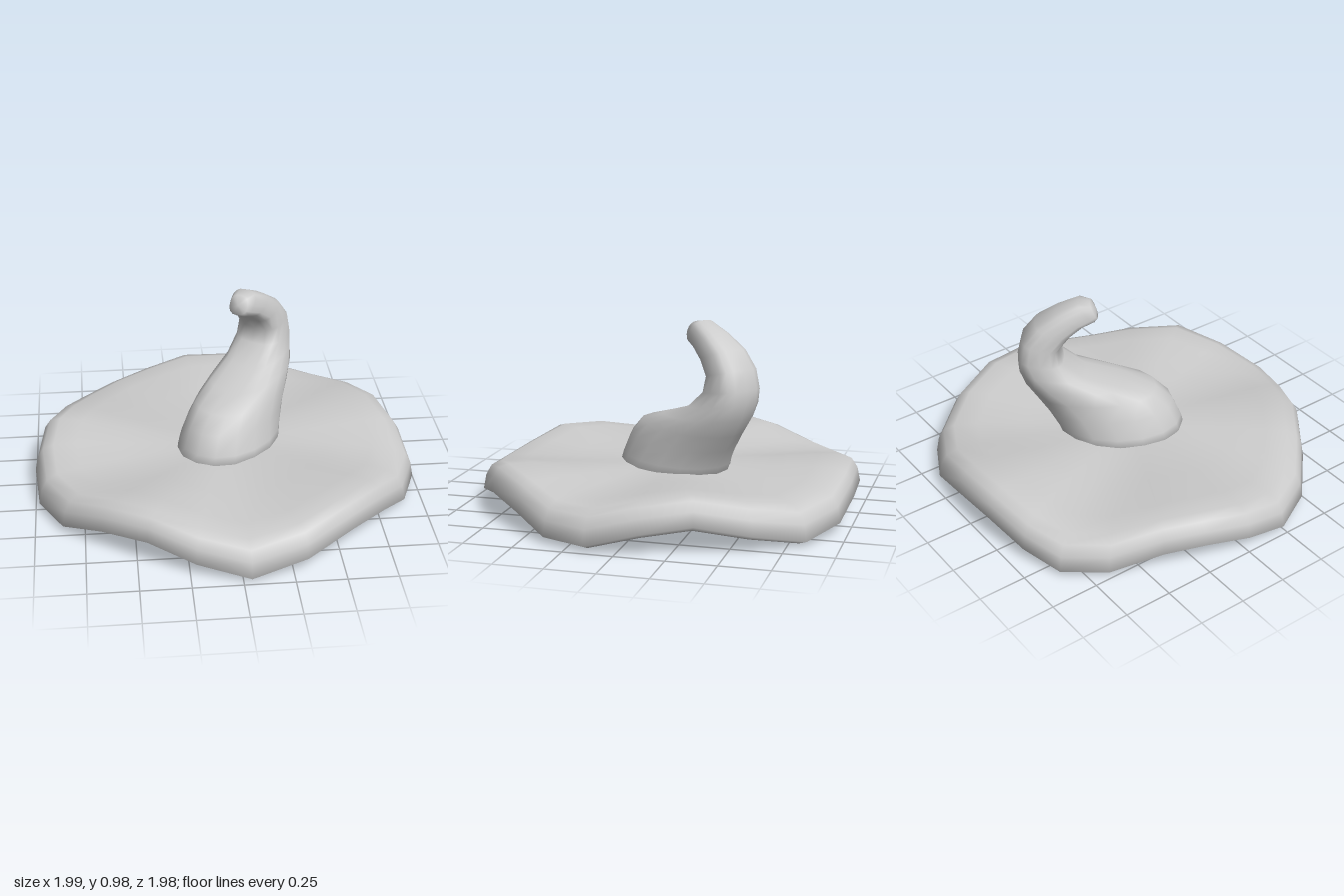
import * as THREE from 'three';

const material = new THREE.MeshStandardMaterial({ color: 0xcccccc });

// Skin a closed, smooth surface over equal-length rings, with a point at each end.
function loft(name, start, rings, end) {
  const n = rings[0].length, last = rings.length - 1;
  const points = [...rings.flat(), start, end];
  const s = points.length - 2, e = s + 1, index = [];
  for (let j = 0; j < n; j++) {
    const k = (j + 1) % n;
    for (let i = 0; i < last; i++) {
      const a = i * n + j, b = i * n + k;
      index.push(a, b, b + n, a, b + n, a + n);
    }
    index.push(s, k, j, e, last * n + j, last * n + k);
  }
  const geometry = new THREE.BufferGeometry().setFromPoints(points);
  geometry.setIndex(index);
  geometry.computeVertexNormals();
  const mesh = new THREE.Mesh(geometry, material);
  mesh.name = name;
  return mesh;
}

// Brim outline (x, z), from the front point round by the left side.
const outline = [
  [0.04, 0.985], [0.32, 0.92], [0.56, 0.78], [0.76, 0.56], [0.9, 0.38], [0.99, 0.15],
  [0.97, -0.11], [0.9, -0.36], [0.79, -0.62], [0.61, -0.84], [0.37, -0.96], [0.12, -0.99],
  [-0.15, -0.98], [-0.39, -0.93], [-0.59, -0.85], [-0.75, -0.67], [-0.87, -0.43], [-0.96, -0.24],
  [-1, 0], [-0.98, 0.24], [-0.86, 0.47], [-0.67, 0.64], [-0.45, 0.8], [-0.22, 0.91],
];

// Brim section: [outline scale, height, lift at the five wave crests].
const brimSection = [
  [0.5, 0.045, 0.01], [0.85, 0.025, 0.06], [0.95, 0.0, 0.11], [1.0, 0.02, 0.12],
  [0.985, 0.1, 0.11], [0.955, 0.155, 0.1], [0.9, 0.185, 0.085], [0.78, 0.197, 0.07],
  [0.55, 0.205, 0.035], [0.3, 0.215, 0.005],
];

function makeBrim() {
  const rings = brimSection.map(([k, y, lift]) => outline.map(([x, z]) => {
    const wave = (1 - Math.cos(5 * (Math.atan2(x, z) - 0.04))) / 2;
    return new THREE.Vector3(x * k, y + lift * wave, z * k);
  }));
  return loft('brim', new THREE.Vector3(0, 0.05, 0), rings, new THREE.Vector3(0, 0.22, 0));
}

// Crown sections in the plane of the bend:
// [inner s, inner y, outer s, outer y, half width, sideways shift, squareness].
const crownSections = [
  [-0.3, 0.15, 0.35, 0.15, 0.26, 0, 1],
  [-0.27, 0.26, 0.39, 0.25, 0.24, 0, 1],
  [-0.225, 0.36, 0.44, 0.34, 0.215, 0, 0.95],
  [-0.14, 0.44, 0.5, 0.43, 0.195, 0, 0.9],
  [0.03, 0.49, 0.55, 0.52, 0.175, 0.01, 0.8],
  [0.22, 0.55, 0.573, 0.6, 0.15, 0.02, 0.75],
  [0.335, 0.64, 0.573, 0.67, 0.135, 0.025, 0.7],
  [0.355, 0.72, 0.55, 0.77, 0.125, 0.025, 0.7],
  [0.3, 0.79, 0.48, 0.86, 0.11, 0.025, 0.7],
  [0.23, 0.845, 0.37, 0.93, 0.09, 0.022, 0.7],
  [0.175, 0.865, 0.26, 0.982, 0.07, 0.02, 0.7],
  [0.16, 0.88, 0.2, 0.972, 0.052, 0.02, 0.8],
];

function makeCrown() {
  const lean = new THREE.Vector3(0.59, 0, -0.81);
  const side = new THREE.Vector3(-0.81, 0, -0.59);
  const at = (s, y, u) => new THREE.Vector3(0, y, 0).addScaledVector(lean, s).addScaledVector(side, u);
  const rounded = (v, p) => Math.sign(v) * Math.abs(v) ** p;
  const n = 16;
  const rings = crownSections.map(([s0, y0, s1, y1, w, shift, p]) =>
    Array.from({ length: n }, (_, j) => {
      const t = (j / n) * Math.PI * 2;
      const f = (1 + rounded(Math.cos(t), p)) / 2;
      return at(s0 + (s1 - s0) * f, y0 + (y1 - y0) * f, shift + w * rounded(Math.sin(t), p));
    }));
  return loft('crown', at(0.03, 0.15, 0), rings, at(0.168, 0.928, 0.02));
}

export function createModel() {
  const group = new THREE.Group();
  group.name = 'floppyHat';
  group.add(makeBrim(), makeCrown());
  return group;
}
